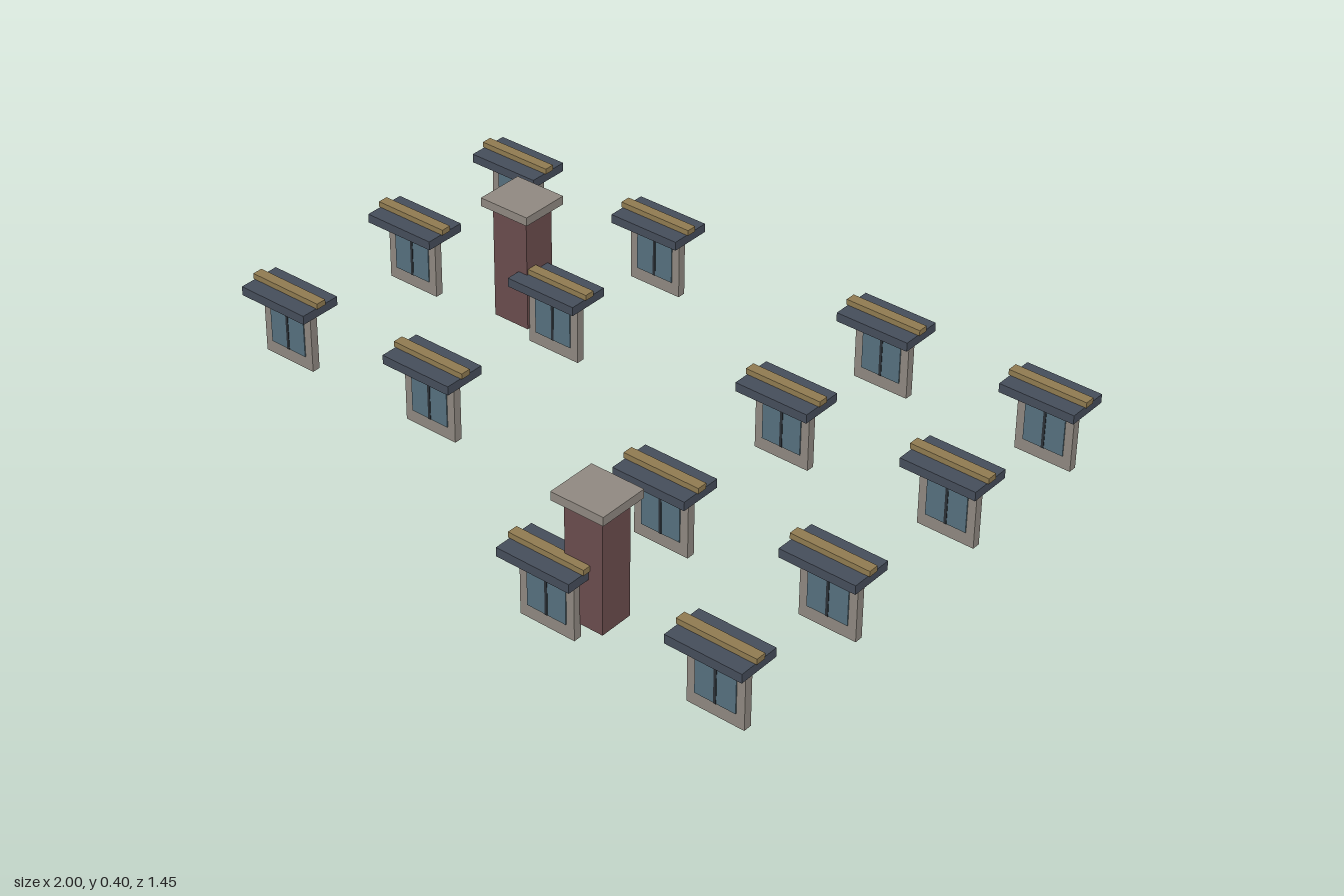
import * as THREE from 'three';

const paint = (color) => new THREE.MeshStandardMaterial({ color });
const stone = paint(0x8f8880);
const slate = paint(0x454d5a);
const brass = paint(0x8f7a50);
const glass = paint(0x56707e);
const iron = paint(0x2a3036);
const brick = paint(0x6a4c4d);

// Box of the given size, standing on height y
function block(name, material, w, h, d, y) {
  const mesh = new THREE.Mesh(new THREE.BoxGeometry(w, h, d), material);
  mesh.name = name;
  mesh.position.y = y + h / 2;
  return mesh;
}

// Window with a stone surround, flat slate roof and ridge strip
function dormer(x, z) {
  const g = new THREE.Group();
  g.name = 'dormer';
  g.add(
    block('windowFrame', stone, 0.168, 0.176, 0.024, 0),
    block('windowPane', glass, 0.12, 0.114, 0.03, 0.038),
    block('mullion', iron, 0.008, 0.114, 0.033, 0.038),
    block('roofSlab', slate, 0.223, 0.026, 0.125, 0.183),
    block('ridgeStrip', brass, 0.232, 0.016, 0.03, 0.209)
  );
  g.position.set(x, 0, z);
  return g;
}

// Brick stack with an overhanging cap
function chimney(x, z) {
  const g = new THREE.Group();
  g.name = 'chimney';
  g.add(
    block('chimneyStack', brick, 0.115, 0.338, 0.1, 0.04),
    block('chimneyCap', stone, 0.158, 0.025, 0.145, 0.378)
  );
  g.position.set(x, 0, z);
  return g;
}

export function createModel() {
  const model = new THREE.Group();
  model.name = 'roofDormersAndChimneys';

  // Four rows of dormers; the front row has only its left half
  for (const z of [-0.66, -0.239, 0.239, 0.66]) {
    for (const x of [-0.884, -0.381, 0.378, 0.884]) {
      if (z > 0.5 && x < 0) continue;
      model.add(dormer(x, z));
    }
  }

  model.add(chimney(-0.521, -0.269), chimney(0.474, 0.602));
  return model;
}
